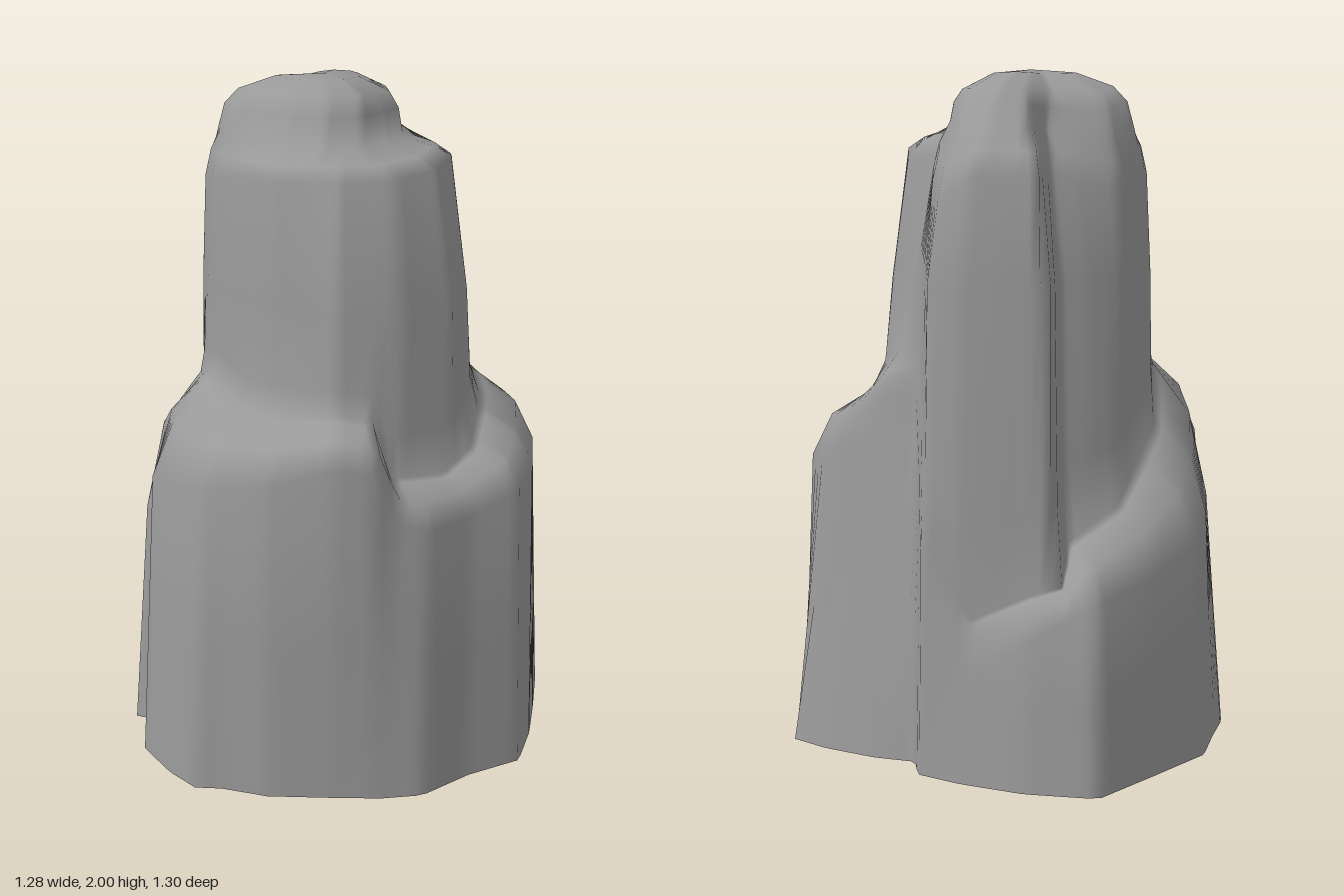
import * as THREE from 'three';

const SPOKES = 120;

// Outlines as [x, z, y] corners, from the ground up.
const base = [
  [-0.32, -0.655], [-0.11, -0.645], [0.08, -0.59], [0.21, -0.53], [0.235, -0.43], [0.36, -0.41],
  [0.52, -0.35], [0.635, -0.28], [0.64, -0.16], [0.615, 0.05], [0.59, 0.22], [0.545, 0.39],
  [0.39, 0.48], [0.25, 0.6], [0.13, 0.62], [0, 0.62], [-0.2, 0.615], [-0.35, 0.57], [-0.41, 0.575],
  [-0.5, 0.48], [-0.59, 0.34], [-0.575, 0.16], [-0.64, 0.14], [-0.645, 0.05], [-0.62, -0.1],
  [-0.6, -0.26], [-0.46, -0.46],
].map(([x, z]) => [x, z, 0]);

// outer edge of the ledge
const lip = [
  [0.6, -0.13, 0.85], [0.55, -0.21, 0.87], [0.37, -0.27, 0.93], [0.25, -0.31, 0.96],
  [0.2, -0.52, 0.45], [0.06, -0.57, 0.3], [-0.11, -0.61, 0.42], [-0.3, -0.605, 0.53],
  [-0.44, -0.43, 0.57], [-0.57, -0.25, 0.64], [-0.59, -0.1, 0.69], [-0.585, 0.13, 0.71],
  [-0.55, 0.16, 0.85], [-0.54, 0.33, 0.88], [-0.47, 0.44, 0.9], [-0.38, 0.54, 0.92],
  [-0.2, 0.62, 0.96], [0, 0.65, 1.02], [0.1, 0.635, 1], [0.16, 0.6, 0.86], [0.25, 0.57, 0.81],
  [0.38, 0.46, 0.82], [0.52, 0.38, 0.87], [0.57, 0.22, 0.89],
];

// where the tower rises from the ledge
const foot = [
  [0.42, 0, 1.04], [0.41, -0.17, 1.06], [0.35, -0.24, 1.12], [0.24, -0.3, 1.15],
  [0.21, -0.42, 1], [0.2, -0.51, 0.75], [0.06, -0.53, 0.46], [-0.12, -0.535, 0.54],
  [-0.22, -0.53, 0.57], [-0.2, -0.42, 0.66], [-0.34, -0.3, 0.75], [-0.43, -0.08, 0.95],
  [-0.42, 0.05, 1.12], [-0.38, 0.15, 1.15], [-0.28, 0.31, 1.1], [-0.15, 0.42, 1.1],
  [0, 0.48, 1.12], [0.1, 0.47, 1.1], [0.15, 0.46, 0.93], [0.3, 0.39, 0.92],
  [0.38, 0.31, 0.97], [0.41, 0.15, 1.04],
];

// tower halfway up, with the buttress at the back
const waist = [
  [0.37, 0], [0.35, -0.11], [0.27, -0.2], [0.215, -0.33], [0.18, -0.48], [0.09, -0.525],
  [-0.02, -0.53], [-0.18, -0.52], [-0.17, -0.42], [-0.17, -0.35], [-0.25, -0.3], [-0.34, -0.22],
  [-0.415, -0.04], [-0.39, 0.08], [-0.31, 0.22], [-0.18, 0.35], [0, 0.455], [0.18, 0.42],
  [0.32, 0.32], [0.37, 0.14],
].map(([x, z]) => [x, z, 1.4]);

const shoulder = [
  [0.32, 0, 1.77], [0.3, -0.11, 1.74], [0.21, -0.18, 1.74], [0.19, -0.33, 1.68],
  [0.15, -0.47, 1.63], [0.05, -0.51, 1.7], [-0.14, -0.5, 1.7], [-0.13, -0.38, 1.7],
  [-0.14, -0.27, 1.7], [-0.33, -0.18, 1.65], [-0.4, -0.03, 1.7], [-0.37, 0.09, 1.71],
  [-0.29, 0.22, 1.74], [-0.18, 0.34, 1.75], [0, 0.41, 1.76], [0.15, 0.38, 1.76],
  [0.27, 0.26, 1.77], [0.32, 0.1, 1.78],
];

const crownFoot = [
  [0.18, 0, 1.83], [0.16, -0.1, 1.85], [0.16, -0.2, 1.85], [0.13, -0.32, 1.82],
  [0.1, -0.39, 1.81], [0.01, -0.4, 1.83], [-0.09, -0.38, 1.82], [-0.1, -0.25, 1.83],
  [-0.12, -0.19, 1.82], [-0.3, -0.16, 1.8], [-0.36, -0.06, 1.84], [-0.33, 0.04, 1.84],
  [-0.24, 0.14, 1.83], [-0.15, 0.21, 1.82], [-0.04, 0.24, 1.82], [0.06, 0.2, 1.82], [0.14, 0.1, 1.82],
];

const crown = [
  [0.14, 0, 1.95], [0.13, -0.17, 1.94], [0.09, -0.25, 1.94], [0, -0.26, 1.95],
  [-0.07, -0.23, 1.94], [-0.13, -0.15, 1.93], [-0.27, -0.12, 1.93], [-0.3, -0.05, 1.95],
  [-0.24, 0.07, 1.95], [-0.14, 0.14, 1.96], [-0.04, 0.17, 1.96], [0.06, 0.14, 1.96],
];

// Cuts an outline with evenly spaced rays from the vertical axis.
function resample(outline) {
  const pts = outline
    .map(([x, z, y]) => ({ x, y, z, a: Math.atan2(z, x) }))
    .sort((p, q) => p.a - q.a);
  const ring = [];
  for (let i = 0; i < SPOKES; i++) {
    const a = -Math.PI + (i / SPOKES) * Math.PI * 2;
    const next = Math.max(0, pts.findIndex((p) => p.a > a));
    const q = pts[next];
    const p = pts[(next + pts.length - 1) % pts.length];
    const side = (v) => v.z * Math.cos(a) - v.x * Math.sin(a);
    const t = side(p) / (side(p) - side(q));
    ring.push(new THREE.Vector3().lerpVectors(p, q, t));
  }
  return ring;
}

// Ring between two others, with separate amounts inward and upward.
function between(lower, upper, inward, upward) {
  return lower.map((p, i) => {
    const v = p.clone().lerp(upper[i], inward);
    v.y = THREE.MathUtils.lerp(p.y, upper[i].y, upward);
    return v;
  });
}

function loft(rings, apex) {
  const positions = rings.flat().concat(apex).flatMap((v) => [v.x, v.y, v.z]);
  const index = [];
  const tip = rings.length * SPOKES;
  for (let r = 0; r < rings.length; r++) {
    for (let i = 0; i < SPOKES; i++) {
      const j = (i + 1) % SPOKES;
      const a = r * SPOKES + i, b = r * SPOKES + j;
      if (r === rings.length - 1) index.push(a, tip, b);
      else index.push(a, a + SPOKES, b, b, a + SPOKES, b + SPOKES);
    }
  }
  const geometry = new THREE.BufferGeometry();
  geometry.setAttribute('position', new THREE.Float32BufferAttribute(positions, 3));
  geometry.setIndex(index);
  geometry.computeVertexNormals();
  return geometry;
}

export function createModel() {
  const [b, l, f, w, s, c, t] = [base, lip, foot, waist, shoulder, crownFoot, crown].map(resample);
  const apex = new THREE.Vector3(-0.05, 2, 0);
  const summit = t.map((p) => new THREE.Vector3(
    THREE.MathUtils.lerp(p.x, apex.x, 0.45), THREE.MathUtils.lerp(p.y, 2, 0.8), p.z * 0.55));

  const rings = [
    b, between(b, l, 0.5, 0.5), l,
    between(l, f, 0.32, 0.62), between(l, f, 0.85, 0.92), f,
    between(f, w, 0.6, 0.25), w, s,
    between(s, c, 0.35, 0.55), c, between(c, t, 0.3, 0.6), t, summit,
  ];

  // rock shell, open underneath
  const rock = new THREE.Mesh(
    loft(rings, apex),
    new THREE.MeshStandardMaterial({ color: 0x999999, side: THREE.DoubleSide }),
  );
  rock.name = 'rockPillar';

  const model = new THREE.Group();
  model.name = 'rock';
  model.add(rock);
  return model;
}
